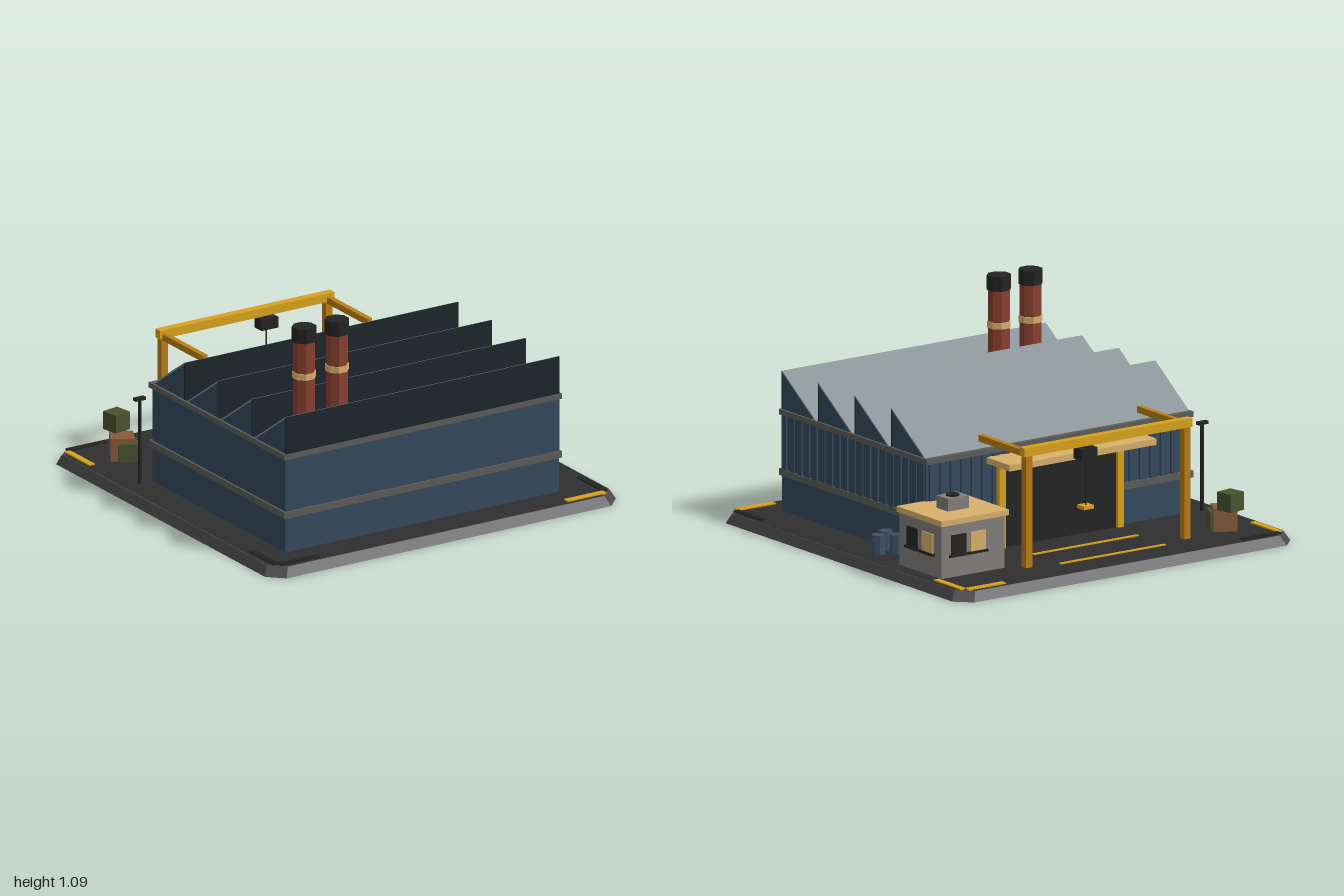
import * as THREE from 'three';

const C = {
  wall: 0x34495e, trim: 0x5c5c58, roof: 0x7f8a90, glass: 0x1b242c, dark: 0x232323, brick: 0x8a4030,
  tan: 0xd9b06c, yellow: 0xd9a21b, orange: 0xb97d14, plaster: 0x827e7a, barrel: 0x3d5166,
  asphalt: 0x302f30, slab: 0x4a484c, crate: 0x8a5c3c, green: 0x4a5230,
};
const mats = {};
const mat = (c) => (mats[c] ??= new THREE.MeshStandardMaterial({ color: C[c], flatShading: true }));

export function createModel() {
  const root = new THREE.Group();
  const add = (name, geo, color, parent = root) => {
    const m = new THREE.Mesh(geo, mat(color));
    m.name = name;
    parent.add(m);
    return m;
  };
  const group = (name) => {
    const g = new THREE.Group();
    g.name = name;
    root.add(g);
    return g;
  };
  // box given by its extents on each axis
  const box = (name, x0, x1, y0, y1, z0, z1, color, parent) => {
    const m = add(name, new THREE.BoxGeometry(x1 - x0, y1 - y0, z1 - z0), color, parent);
    m.position.set((x0 + x1) / 2, (y0 + y1) / 2, (z0 + z1) / 2);
    return m;
  };
  // upright eight-sided cylinder
  const drum = (name, x, z, y0, y1, r, color, parent) => {
    const m = add(name, new THREE.CylinderGeometry(r, r, y1 - y0, 8).rotateY(Math.PI / 8), color, parent);
    m.position.set(x, (y0 + y1) / 2, z);
    return m;
  };
  // profile of [z, y] points swept along x
  const prism = (name, pts, x0, x1, color, parent) => {
    const shape = new THREE.Shape(pts.map((p) => new THREE.Vector2(p[0], p[1])));
    const geo = new THREE.ExtrudeGeometry(shape, { depth: x1 - x0, bevelEnabled: false });
    return add(name, geo.rotateY(-Math.PI / 2).translate(x1, 0, 0), color, parent);
  };

  // chamfered ground slab whose sides slope inward
  const octagon = (s, h) => {
    const a = s, b = s - 0.075;
    const pts = [[a, -b], [a, b], [b, a], [-b, a], [-a, b], [-a, -b], [-b, -a], [b, -a]];
    const shape = new THREE.Shape(pts.map((p) => new THREE.Vector2(p[0], p[1])));
    return new THREE.ExtrudeGeometry(shape, { depth: h, bevelEnabled: false }).rotateX(-Math.PI / 2);
  };
  const slab = octagon(1, 0.048);
  const sp = slab.attributes.position;
  for (let i = 0; i < sp.count; i++) {
    if (sp.getY(i) > 0.02) sp.setXYZ(i, sp.getX(i) * 0.975, sp.getY(i), sp.getZ(i) * 0.975);
  }
  slab.computeVertexNormals();
  add('groundSlab', slab, 'slab');
  add('yardSurface', octagon(0.968, 0.004), 'asphalt').position.y = 0.046;

  // ground markings: pairs of strips at each corner, and two loading lines
  const marks = group('groundMarkings');
  for (const sx of [-1, 1]) for (const sz of [-1, 1]) {
    const along = (sx > 0) ? 'yellow' : 'dark';
    const across = (sz < 0) ? 'yellow' : 'dark';
    const a = box('cornerStripX', -0.11, 0.11, 0.048, 0.056, -0.017, 0.017, along, marks);
    a.position.set(sx * 0.815, 0.052, sz * 0.94);
    const b = box('cornerStripZ', -0.016, 0.016, 0.048, 0.056, -0.11, 0.11, across, marks);
    b.position.set(sx * 0.937, 0.052, sz * 0.815);
  }
  for (const z of [-0.803, -0.583]) box('loadingLine', -0.345, 0.275, 0.048, 0.055, z - 0.009, z + 0.009, 'yellow', marks);

  // main hall with two trim bands
  const hall = group('factoryHall');
  box('hallWalls', -0.81, 0.75, 0.05, 0.54, -0.365, 0.81, 'wall', hall);
  box('middleBand', -0.82, 0.76, 0.225, 0.258, -0.385, 0.82, 'trim', hall);
  for (const [x0, x1, z0, z1] of [[-0.82, 0.76, -0.385, -0.358], [-0.82, 0.76, 0.806, 0.82],
    [-0.82, -0.806, -0.358, 0.806], [0.746, 0.76, -0.358, 0.806]]) {
    box('eavesBand', x0, x1, 0.525, 0.552, z0, z1, 'trim', hall);
  }
  // cladding ribs on the side and back walls
  for (let i = 0; i < 19; i++) {
    const z = -0.335 + i * 0.0622;
    box('sideRib', 0.745, 0.758, 0.258, 0.525, z - 0.019, z + 0.019, 'wall', hall);
  }
  for (let i = 0; i < 25; i++) {
    const x = -0.777 + i * 0.0622;
    box('backRib', x - 0.019, x + 0.019, 0.258, 0.525, -0.377, -0.36, 'wall', hall);
  }

  // sawtooth roof: glazed upright face, metal slope
  const roof = group('sawtoothRoof');
  for (let i = 0; i < 4; i++) {
    const z = 0.813 - i * 0.298, e = z - 0.297;
    prism('roofGable', [[e, 0.53], [z - 0.005, 0.53], [z - 0.005, 0.735]], -0.808, 0.748, 'wall', roof);
    prism('roofSlope', [[e, 0.53], [z - 0.004, 0.733], [z - 0.004, 0.742], [e, 0.539]], -0.811, 0.751, 'roof', roof);
    box('roofGlazing', -0.81, 0.75, 0.53, 0.74, z - 0.005, z + 0.001, 'glass', roof);
  }

  // chimneys
  for (const x of [-0.565, -0.378]) {
    const g = group('chimney');
    drum('stack', x, 0.595, 0.54, 1.03, 0.054, 'brick', g);
    drum('stackRing', x, 0.595, 0.832, 0.864, 0.058, 'tan', g);
    drum('stackCap', x, 0.595, 1.02, 1.092, 0.06, 'dark', g);
  }

  // loading door and canopy
  const dock = group('loadingDock');
  box('rollerDoor', -0.36, 0.31, 0.05, 0.45, -0.39, -0.36, 'dark', dock);
  for (const x of [-0.375, 0.325]) box('doorPost', x - 0.018, x + 0.018, 0.05, 0.48, -0.405, -0.36, 'yellow', dock);
  box('canopy', -0.47, 0.4, 0.477, 0.508, -0.565, -0.37, 'tan', dock);

  // gantry crane
  const crane = group('gantryCrane');
  for (const x of [-0.503, 0.435]) {
    box('cranePost', x - 0.018, x + 0.018, 0.05, 0.61, -0.773, -0.735, 'orange', crane);
    box('craneArm', x - 0.014, x + 0.014, 0.595, 0.627, -0.755, -0.377, 'orange', crane);
  }
  box('craneBeam', -0.53, 0.465, 0.602, 0.645, -0.777, -0.735, 'yellow', crane);
  box('trolley', 0.04, 0.135, 0.535, 0.59, -0.785, -0.72, 'dark', crane);
  box('trolleyHanger', 0.07, 0.105, 0.585, 0.605, -0.768, -0.742, 'dark', crane);
  box('hoistCable', 0.084, 0.09, 0.3, 0.54, -0.757, -0.751, 'dark', crane);
  box('hookBlock', 0.057, 0.117, 0.287, 0.305, -0.78, -0.725, 'yellow', crane);

  // office with lit and dark windows on two sides
  const office = group('office');
  box('officeWalls', 0.53, 0.903, 0.05, 0.32, -0.703, -0.36, 'plaster', office);
  box('officeRoof', 0.517, 0.915, 0.312, 0.34, -0.72, -0.35, 'tan', office);
  for (const [z, x, color] of [[-0.467, 0.805, 'dark'], [-0.592, 0.69, 'tan']]) {
    box('sideWindow', 0.9, 0.909, 0.162, 0.258, z - 0.044, z + 0.044, color, office);
    box('sideSill', 0.9, 0.916, 0.15, 0.162, z - 0.055, z + 0.055, 'dark', office);
    box('backWindow', x - 0.044, x + 0.044, 0.162, 0.258, -0.709, -0.7, color, office);
    box('backSill', x - 0.055, x + 0.055, 0.15, 0.162, -0.716, -0.7, 'dark', office);
  }
  box('roofVent', 0.655, 0.778, 0.34, 0.402, -0.583, -0.487, 'plaster', office);
  drum('ventFan', 0.716, -0.535, 0.4, 0.41, 0.034, 'dark', office);

  // barrels
  for (const [x, z] of [[0.787, -0.173], [0.862, -0.13], [0.787, -0.085]]) {
    const g = group('barrel');
    drum('barrelBody', x, z, 0.05, 0.145, 0.034, 'barrel', g);
    for (const y of [0.075, 0.12]) drum('barrelHoop', x, z, y - 0.004, y + 0.004, 0.037, 'barrel', g);
  }

  // lamp post
  const lamp = group('lampPost');
  drum('lampPole', -0.88, -0.37, 0.05, 0.48, 0.009, 'dark', lamp);
  box('lampHead', -0.91, -0.852, 0.476, 0.491, -0.383, -0.358, 'dark', lamp);

  // stacked crates
  for (const [x, y, z, w, h, turn, color] of [[-0.757, 0.1075, -0.72, 0.115, 0.115, -0.5, 'crate'],
    [-0.735, 0.21, -0.803, 0.092, 0.09, 0.17, 'green'], [-0.745, 0.095, -0.69, 0.1, 0.09, -0.45, 'green']]) {
    const m = add('crate', new THREE.BoxGeometry(w, h, w), color);
    m.position.set(x, y, z);
    m.rotation.y = turn;
  }
  return root;
}
